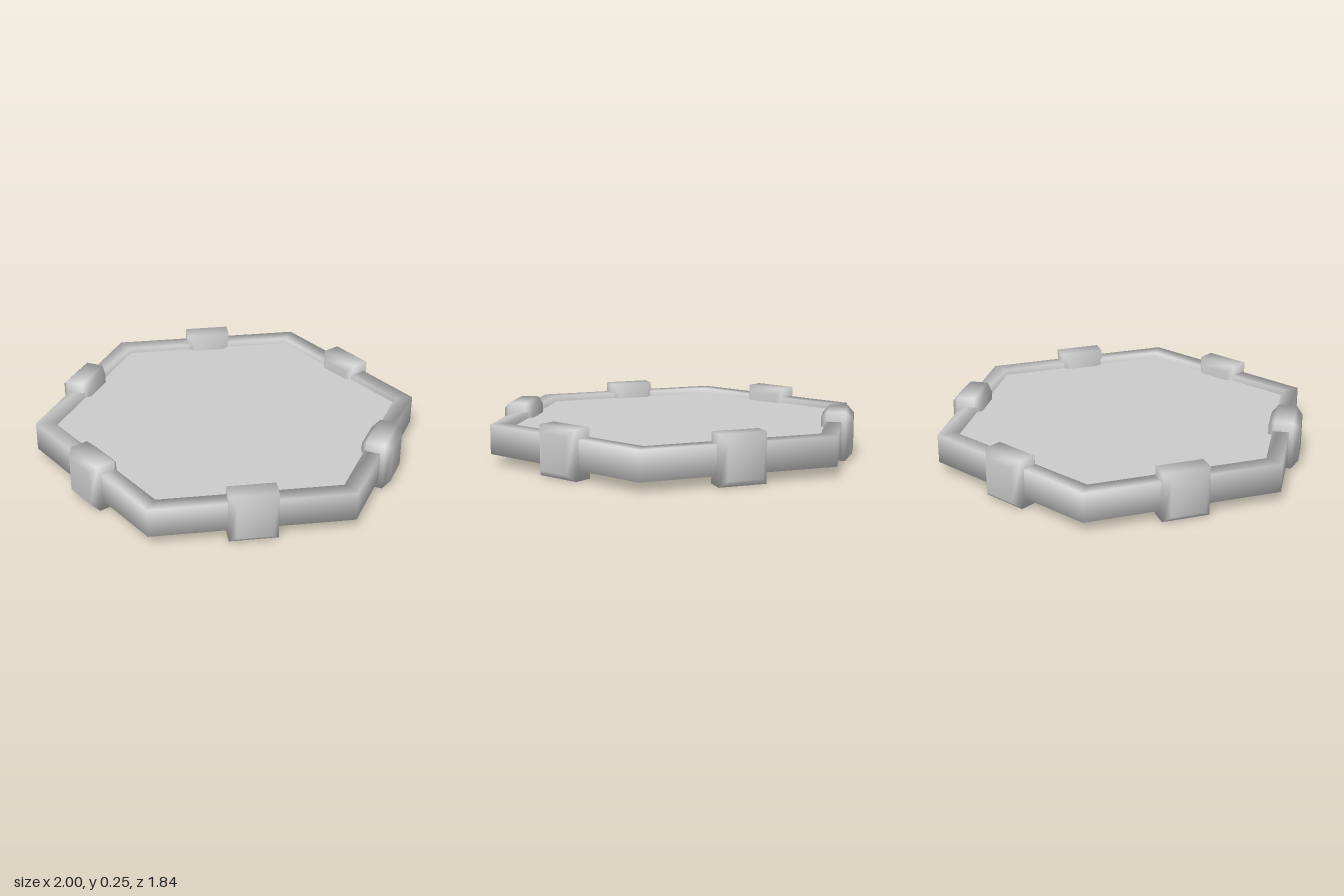
import * as THREE from 'three';
import { mergeVertices } from 'three/addons/utils/BufferGeometryUtils.js';

const MID = 0.125; // height of the centre plane

// Weld coincident corners so shading runs smoothly over every edge
function smooth(geometry) {
  geometry.deleteAttribute('normal');
  geometry.deleteAttribute('uv');
  const welded = mergeVertices(geometry, 1e-4);
  welded.computeVertexNormals();
  return welded;
}

// Block whose two end faces (along z) are drawn in, giving sloped shoulders
function clampGeometry(width, height, depth, slope) {
  const g = new THREE.BoxGeometry(width, height, depth, 1, 1, 3);
  const p = g.attributes.position;
  for (let i = 0; i < p.count; i++) {
    const z = p.getZ(i);
    if (Math.abs(z) > depth * 0.4) {
      p.setX(i, p.getX(i) - Math.sign(p.getX(i)) * slope);
      p.setY(i, p.getY(i) - Math.sign(p.getY(i)) * slope);
    } else {
      p.setZ(i, Math.sign(z) * (depth / 2 - slope));
    }
  }
  return smooth(g);
}

export function createModel() {
  const model = new THREE.Group();
  model.name = 'hexagonalTray';
  const material = new THREE.MeshStandardMaterial({ color: 0xcccccc });
  const add = (name, geometry) => {
    const mesh = new THREE.Mesh(geometry, material);
    mesh.name = name;
    model.add(mesh);
    return mesh;
  };

  // Six-sided rim with a rectangular section, corners on the x axis
  const section = [[1, 0.05], [1, 0.2], [0.905, 0.2], [0.905, 0.05], [1, 0.05]]
    .map(([r, y]) => new THREE.Vector2(r, y));
  add('rim', smooth(new THREE.LatheGeometry(section, 6).rotateY(Math.PI / 6)));

  // Flat slab filling the rim, slightly recessed on both faces
  const slab = new THREE.CylinderGeometry(0.93, 0.93, 0.1, 6).rotateY(Math.PI / 6);
  add('panel', slab).position.y = 0.12;

  // One clamp around the middle of each side
  const clamp = clampGeometry(0.24, 0.25, 0.16, 0.033);
  for (let i = 0; i < 6; i++) {
    const angle = (i * Math.PI) / 3;
    const mesh = add(`clamp${i + 1}`, clamp);
    mesh.position.set(Math.sin(angle) * 0.84, MID, Math.cos(angle) * 0.84);
    mesh.rotation.y = angle;
  }
  return model;
}
